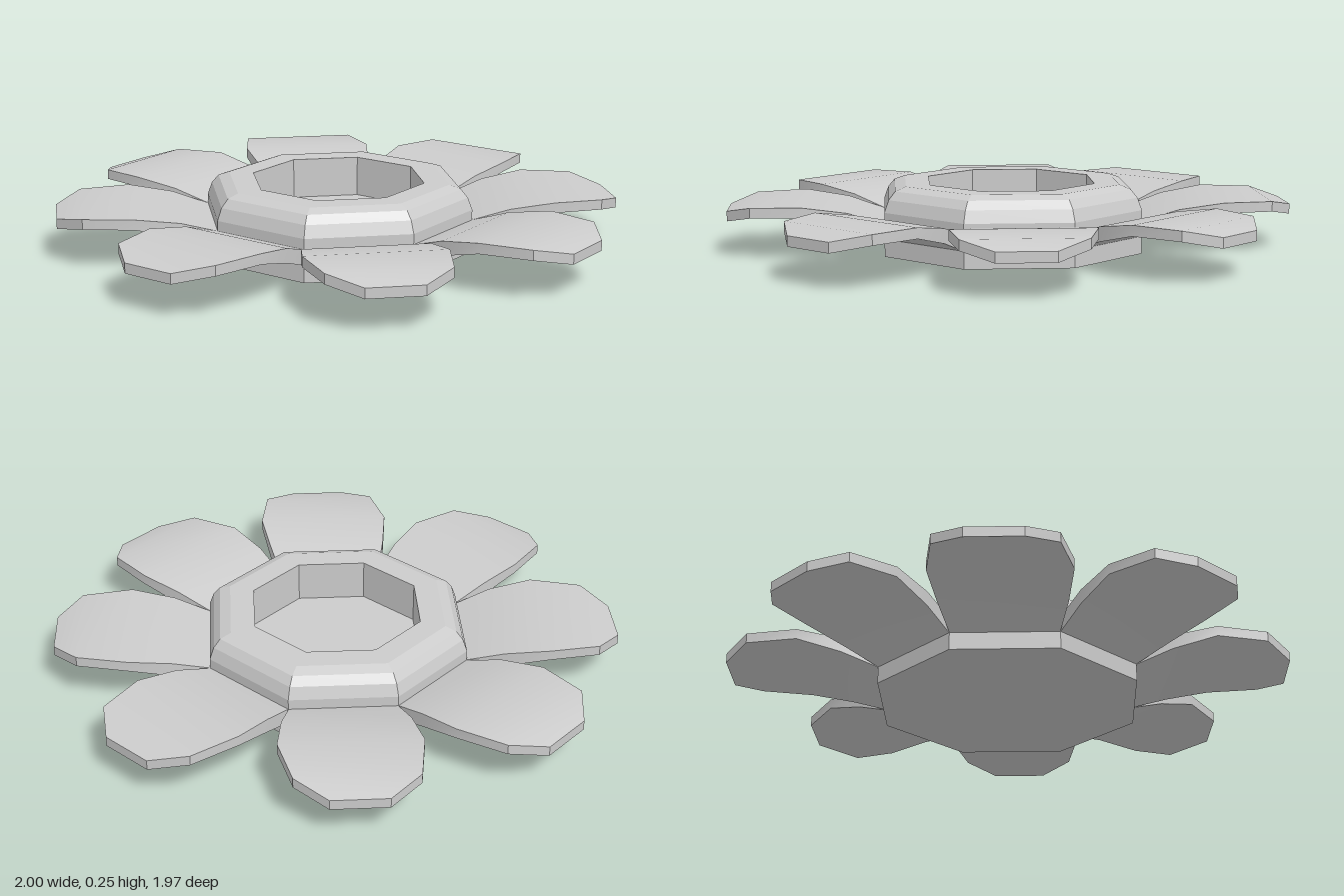
import * as THREE from 'three';
import { toCreasedNormals } from 'three/addons/utils/BufferGeometryUtils.js';

const material = new THREE.MeshStandardMaterial({ color: 0xcccccc });
const flatMaterial = new THREE.MeshStandardMaterial({ color: 0xcccccc, flatShading: true });

// Petal cross-sections from root to tip: [radius, narrow side, wide side, bottom y, top y]
const SECTIONS = [
  [0.455, -0.19, 0.19, 0.06, 0.118],
  [0.60, -0.222, 0.227, 0.112, 0.165],
  [0.76, -0.241, 0.256, 0.152, 0.19],
  [0.945, -0.195, 0.23, 0.15, 0.187],
  [1.035, -0.08, 0.12, 0.124, 0.161],
];

// A curved slab pointing along +x; side = 1 or -1 mirrors it across its own axis
function petalGeometry(side) {
  const positions = [], index = [];
  for (const [u, a, b, low, high] of SECTIONS) {
    const [left, right] = side > 0 ? [a, b] : [-b, -a];
    positions.push(u, low, left, u, low, right, u, high, right, u, high, left);
  }
  const quad = (a, b, c, d) => index.push(a, b, c, a, c, d);
  for (let i = 0; i < SECTIONS.length - 1; i++) {
    for (let j = 0; j < 4; j++) {
      const k = (j + 1) % 4;
      quad(i * 4 + j, i * 4 + 4 + j, i * 4 + 4 + k, i * 4 + k);
    }
  }
  const e = (SECTIONS.length - 1) * 4;
  quad(0, 1, 2, 3);
  quad(e + 3, e + 2, e + 1, e);
  const geometry = new THREE.BufferGeometry();
  geometry.setAttribute('position', new THREE.Float32BufferAttribute(positions, 3));
  geometry.setIndex(index);
  return toCreasedNormals(geometry, 0.6);
}

export function createModel() {
  const model = new THREE.Group();
  model.name = 'flowerDish';

  // Octagonal dish with a rounded rim and a sunken floor
  const profile = [
    [0, 0], [0.505, 0], [0.505, 0.16], [0.488, 0.205], [0.462, 0.235],
    [0.42, 0.25], [0.325, 0.25], [0.325, 0.1], [0, 0.1],
  ].map(([x, y]) => new THREE.Vector2(x, y));
  const dish = new THREE.Mesh(new THREE.LatheGeometry(profile, 8), flatMaterial);
  dish.name = 'dish';
  model.add(dish);

  // Eight petals, two per quadrant, mirrored between quadrants
  const shapes = { '1': petalGeometry(1), '-1': petalGeometry(-1) };
  const petals = new THREE.Group();
  petals.name = 'petals';
  for (let i = 0; i < 8; i++) {
    const side = Math.floor(i / 2) % 2 ? -1 : 1;
    const petal = new THREE.Mesh(shapes[side], material);
    petal.name = 'petal' + (i + 1);
    petal.rotation.y = (i + 0.5) * Math.PI / 4;
    petals.add(petal);
  }
  model.add(petals);
  return model;
}
